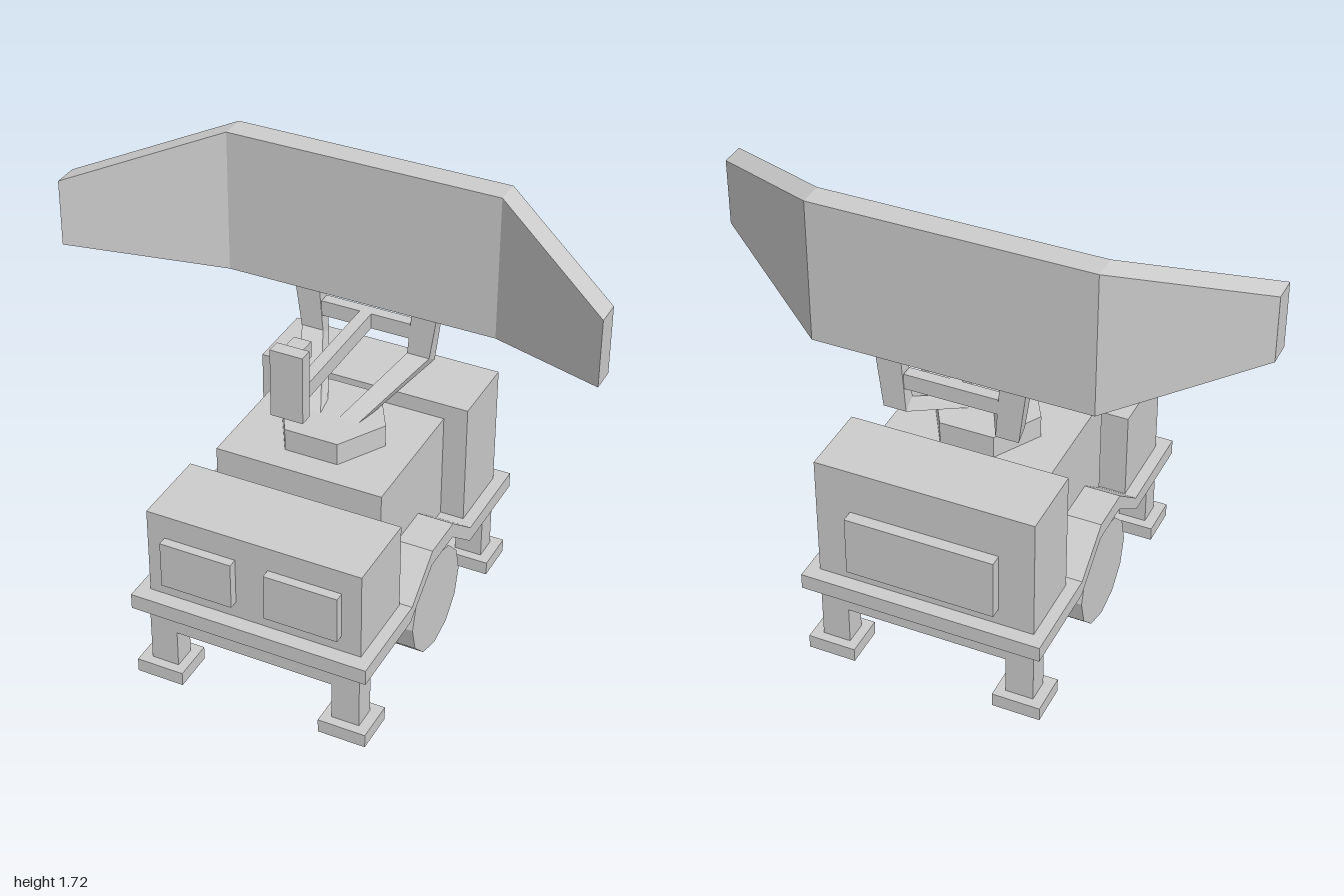
import * as THREE from 'three';

const MID = 0.0075; // centre line of the trailer in x

export function createModel() {
  const model = new THREE.Group();
  model.name = 'radarTrailer';
  const mat = new THREE.MeshStandardMaterial({ color: 0xcccccc, flatShading: true });

  const add = (name, geometry) => {
    const mesh = new THREE.Mesh(geometry, mat);
    mesh.name = name;
    model.add(mesh);
    return mesh;
  };

  // Box given by its limits on each axis
  const box = (name, x0, x1, y0, y1, z0, z1) =>
    add(name, new THREE.BoxGeometry(x1 - x0, y1 - y0, z1 - z0)
      .translate((x0 + x1) / 2, (y0 + y1) / 2, (z0 + z1) / 2));

  // Solid through four-cornered sections, counterclockwise as seen from the far end
  const loft = (name, rings) => {
    const pos = [];
    const quad = (a, b, c, d) => pos.push(...a, ...b, ...c, ...a, ...c, ...d);
    for (let s = 0; s < rings.length - 1; s++) {
      for (let i = 0; i < 4; i++) {
        const j = (i + 1) % 4;
        quad(rings[s][i], rings[s][j], rings[s + 1][j], rings[s + 1][i]);
      }
    }
    quad(...[...rings[0]].reverse());
    quad(...rings[rings.length - 1]);
    const g = new THREE.BufferGeometry();
    g.setAttribute('position', new THREE.Float32BufferAttribute(pos, 3));
    g.computeVertexNormals();
    return add(name, g);
  };

  const extrude = (points, depth) => new THREE.ExtrudeGeometry(
    new THREE.Shape(points.map(([x, y]) => new THREE.Vector2(x, y))),
    { depth, bevelEnabled: false });

  // Deck plate, arched over the wheels
  const deckProfile = [
    [-0.62, 0.295], [-0.25, 0.295], [-0.085, 0.427], [0.09, 0.427], [0.263, 0.295], [0.625, 0.295],
    [0.625, 0.355], [0.253, 0.355], [0.09, 0.487], [-0.085, 0.487], [-0.25, 0.355], [-0.62, 0.355],
  ];
  add('deck', extrude(deckProfile, 0.905).rotateY(-Math.PI / 2).translate(0.46, 0, 0));

  // Cabinets and their panels
  box('mainBody', -0.31, 0.325, 0.175, 0.77, -0.29, 0.23);
  box('frontCabinet', -0.4, 0.415, 0.355, 0.695, 0.26, 0.567);
  box('rearCabinet', -0.4, 0.415, 0.355, 0.83, -0.565, -0.287);
  box('rearPanel', -0.27, 0.285, 0.423, 0.656, -0.61, -0.565);
  box('frontPanelRight', -0.333, -0.06, 0.42, 0.602, 0.567, 0.602);
  box('frontPanelLeft', 0.065, 0.342, 0.42, 0.602, 0.567, 0.602);

  // Leg frames with foot pads
  const legProfile = [
    [-0.4, 0.05], [-0.295, 0.05], [-0.295, 0.2], [0.31, 0.2],
    [0.31, 0.05], [0.415, 0.05], [0.415, 0.295], [-0.4, 0.295],
  ];
  for (const [end, z] of [['front', 0.533], ['rear', -0.52]]) {
    add(end + 'LegFrame', extrude(legProfile, 0.088).translate(0, 0, z - 0.044));
    for (const [side, s] of [['Left', 1], ['Right', -1]]) {
      const x = MID + s * 0.3575;
      box(end + 'Foot' + side, x - 0.09, x + 0.09, 0, 0.053, z - 0.08, z + 0.08);
    }
  }

  // Wheels, twelve-sided with a corner at the top
  for (const [side, s] of [['Left', 1], ['Right', -1]]) {
    add('wheel' + side, new THREE.CylinderGeometry(0.2, 0.2, 0.13, 12)
      .rotateZ(Math.PI / 2).translate(MID + s * 0.368, 0.2, 0));
  }

  // Hexagonal turntable
  add('turntable', new THREE.CylinderGeometry(0.2025, 0.2025, 0.085, 6)
    .rotateY(Math.PI / 6).translate(MID, 0.8125, -0.046));

  // Bent arms carrying the reflector: [inner x, outer x, y, z] at front and back of each section
  const armSections = [
    [[0.035, 0.11, 0.855, -0.015], [0.05, 0.13, 0.855, -0.105]],
    [[0.165, 0.25, 1.0, -0.295], [0.165, 0.25, 0.968, -0.345]],
    [[0.18, 0.275, 1.18, -0.295], [0.18, 0.275, 1.18, -0.345]],
  ];
  for (const [side, s] of [['Left', 1], ['Right', -1]]) {
    loft('arm' + side, armSections.map(([f, b]) => {
      const ring = [[f[0], f], [f[1], f], [b[1], b], [b[0], b]]
        .map(([x, p]) => [MID + s * x, p[2], p[3]]);
      return s > 0 ? ring : ring.reverse();
    }));
  }

  // Crossbar, feed boom and feed
  box('crossbar', -0.165, 0.18, 1.06, 1.12, -0.342, -0.298);
  box('feedBoom', -0.015, 0.03, 1.06, 1.12, -0.32, 0.256);
  box('feedPlate', -0.053, 0.068, 1.04, 1.3, 0.256, 0.307);
  box('feedHorn', -0.025, 0.04, 1.23, 1.29, 0.187, 0.256);

  // Reflector: flat centre with tapered wings swept forward
  const dishSections = [
    [-1, 1.32, 1.573, -0.033], [-0.515, 1.175, 1.722, -0.36],
    [0.513, 1.175, 1.722, -0.36], [1, 1.32, 1.573, -0.033],
  ];
  loft('reflector', dishSections.map(([x, y0, y1, z]) => [
    [x, y0, z + 0.093], [x, y0, z], [x, y1, z], [x, y1, z + 0.093],
  ]));

  return model;
}
